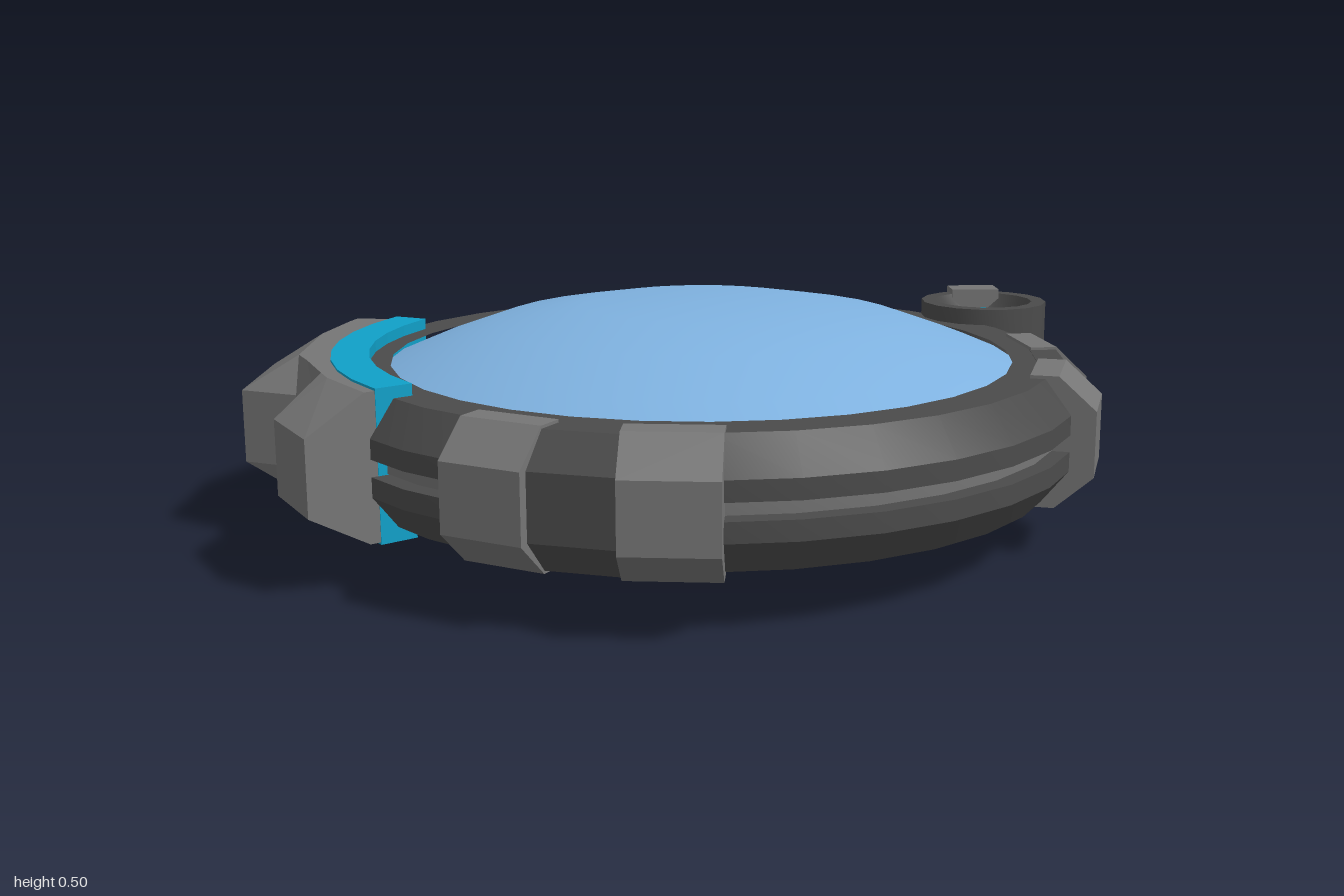
import * as THREE from 'three';
import { toCreasedNormals } from 'three/addons/utils/BufferGeometryUtils.js';

const CX = -0.03; // centre of the main disc
const MID = 0.25; // height of the symmetry plane
const RAD = Math.PI / 180;

const mat = (name, color) => {
  const m = new THREE.MeshStandardMaterial({ color });
  m.name = name;
  return m;
};

function mesh(name, geometry, material, x = 0, y = 0, z = 0) {
  const m = new THREE.Mesh(geometry, material);
  m.name = name;
  m.position.set(x, y, z);
  return m;
}

const lathe = (pts, sides) =>
  toCreasedNormals(new THREE.LatheGeometry(pts.map(([r, y]) => new THREE.Vector2(r, y)), sides), 0.5);

// Sweeps convex (radius, height) profiles around the disc; angles run from -x towards -z.
function arcLoft(sections) {
  const rings = sections.map(({ angle, profile }) => profile.map(([r, y]) =>
    [CX - r * Math.cos(angle * RAD), y, -r * Math.sin(angle * RAD)]));
  const n = rings[0].length;
  const pos = [];
  const tri = (...corners) => corners.forEach((c) => pos.push(...c));
  for (let s = 0; s < rings.length - 1; s++) {
    const a = rings[s], b = rings[s + 1];
    for (let i = 0; i < n; i++) {
      const j = (i + 1) % n;
      tri(a[i], a[j], b[j]);
      tri(a[i], b[j], b[i]);
    }
  }
  const first = rings[0], last = rings[rings.length - 1];
  for (let i = 1; i < n - 1; i++) {
    tri(first[0], first[i + 1], first[i]);
    tri(last[0], last[i], last[i + 1]);
  }
  const g = new THREE.BufferGeometry();
  g.setAttribute('position', new THREE.Float32BufferAttribute(pos, 3));
  g.computeVertexNormals();
  return g;
}

// Straight clamp with a chamfered profile, centred on the given angle (from +x towards +z).
function clamp(name, angle, outer, half, width, material) {
  const pts = [[0.74, -half], [0.8, -half], [outer, -half * 0.5],
    [outer, half * 0.5], [0.8, half], [0.74, half]];
  const shape = new THREE.Shape(pts.map(([r, y]) => new THREE.Vector2(r, y)));
  const g = new THREE.ExtrudeGeometry(shape, { depth: width, bevelEnabled: false });
  g.translate(0, 0, -width / 2);
  const m = mesh(name, g, material, CX, MID, 0);
  m.rotation.y = -angle * RAD;
  return m;
}

// Cylinder or cone running between two points.
function rod(name, from, to, r0, r1, material) {
  const a = new THREE.Vector3(...from), b = new THREE.Vector3(...to);
  const dir = b.clone().sub(a);
  const m = mesh(name, new THREE.CylinderGeometry(r1, r0, dir.length(), 14), material);
  m.position.copy(a).add(b).multiplyScalar(0.5);
  m.quaternion.setFromUnitVectors(new THREE.Vector3(0, 1, 0), dir.normalize());
  return m;
}

export function createModel() {
  const group = new THREE.Group();
  group.name = 'discDevice';
  const dark = mat('dark grey', 0x4b4b4b);
  const grey = mat('mid grey', 0x757575);
  const pale = mat('pale grey', 0xa6a6a6);
  const cyan = mat('cyan', 0x10a0c8);
  const blue = mat('lens blue', 0x7fb2e0);

  // Domed lens, the same above and below
  group.add(mesh('lens', lathe([[0, 0], [0.265, 0.002], [0.46, 0.037], [0.62, 0.094], [0.7, 0.128],
    [0.7, 0.372], [0.62, 0.406], [0.46, 0.463], [0.265, 0.498], [0, 0.5]], 32), blue, CX));

  // Outer ring with a groove around the middle
  group.add(mesh('ring', lathe([[0.69, 0.12], [0.78, 0.12], [0.835, 0.19], [0.835, 0.232], [0.79, 0.232],
    [0.79, 0.268], [0.835, 0.268], [0.835, 0.31], [0.78, 0.385], [0.69, 0.385]], 32), dark, CX));
  group.add(mesh('grooveStrip', lathe([[0.79, 0.234], [0.8, 0.234], [0.8, 0.266], [0.79, 0.266]], 32), grey, CX));

  // Clamps on both front quarters, with a darker link between each pair
  for (const side of [-1, 1]) {
    const at = (a) => (side > 0 ? a : 180 - a);
    group.add(clamp('outerClamp', at(27), 0.875, 0.142, 0.18, grey));
    group.add(clamp('innerClamp', at(51), 0.88, 0.142, 0.19, grey));
    group.add(clamp('clampLink', at(39), 0.855, 0.136, 0.19, dark));
  }

  // Armour guard: angle, ridge radius, outer radius
  const guard = [[-3, 0.84, 0.971], [9, 0.85, 0.962], [12.8, 0.85, 0.863], [22.4, 0.865, 0.892],
    [27, 0.885, 1.01], [43.8, 0.89, 1.011], [54.5, 0.9, 0.982], [57.3, 0.905, 0.928], [59.2, 0.81, 0.82]];
  group.add(mesh('guard', arcLoft(guard.map(([angle, ridge, outer]) => ({
    angle,
    profile: [[0.77, 0.095], [ridge, 0.095], [outer, 0.17], [outer, 0.33], [ridge, 0.405], [0.77, 0.405]],
  }))), grey));

  // Bright band along the inside of the guard
  const band = [];
  for (let i = 0; i <= 8; i++) {
    band.push({
      angle: -3.1 + (62.9 * i) / 8,
      profile: [[0.735, 0.09], [0.817, 0.09], [0.817, 0.41], [0.735, 0.41]],
    });
  }
  group.add(mesh('lightBand', arcLoft(band), cyan));

  // Side barrel with a recessed light at each end
  const BX = 0.842;
  group.add(mesh('barrel', lathe([[0, 0.12], [0.1, 0.12], [0.12, 0.077], [0.155, 0.077], [0.155, 0.21],
    [0.135, 0.222], [0.135, 0.28], [0.155, 0.292], [0.155, 0.423], [0.12, 0.423], [0.1, 0.38], [0, 0.38]], 16),
  dark, BX));
  for (const y of [0.116, 0.384]) {
    group.add(mesh('barrelLight', new THREE.CylinderGeometry(0.101, 0.101, 0.009, 16), cyan, BX, y, 0));
  }

  // Clips over both barrel rims
  const clipAngle = Math.atan2(0.11, 0.07);
  for (const y of [0.372, 0.133]) {
    const clip = mesh('rimClip', new THREE.BoxGeometry(0.075, 0.126, 0.12), grey,
      BX + 0.134 * Math.cos(clipAngle), y, -0.134 * Math.sin(clipAngle));
    clip.rotation.y = clipAngle;
    group.add(clip);
  }

  // Curved pipe from barrel to ring, with a collar at each end
  const path = new THREE.CatmullRomCurve3([[0.89, -0.1], [0.905, -0.2], [0.88, -0.3], [0.83, -0.38],
    [0.76, -0.42], [0.69, -0.435]].map(([x, z]) => new THREE.Vector3(x, MID, z)));
  group.add(mesh('pipe', new THREE.TubeGeometry(path, 24, 0.036, 12), pale));
  group.add(rod('barrelCollar', [0.885, MID, -0.08], [0.902, MID, -0.195], 0.052, 0.042, dark));
  group.add(rod('ringCollar', [0.66, MID, -0.43], [0.77, MID, -0.417], 0.05, 0.038, dark));

  return group;
}
